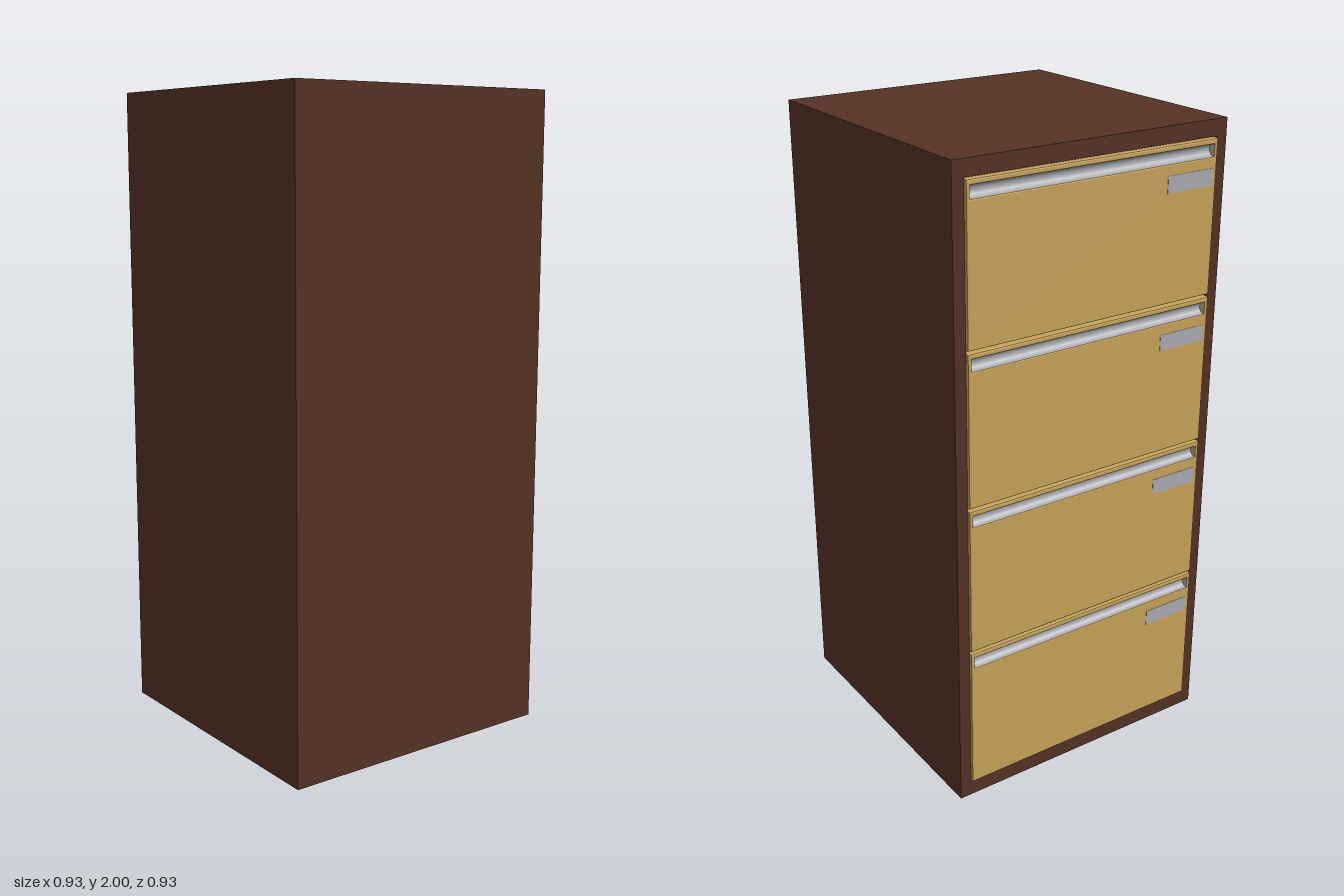
import * as THREE from 'three';

const mat = (color, side = THREE.FrontSide) => new THREE.MeshStandardMaterial({ color, side });
const brown = mat(0x553224);
const ochre = mat(0xc8a35a);
const grey = mat(0xaaacb2, THREE.DoubleSide);

// Adds a rectangle to a Shape or Path
function rect(path, x0, x1, y0, y1) {
  path.moveTo(x0, y0);
  path.lineTo(x1, y0);
  path.lineTo(x1, y1);
  path.lineTo(x0, y1);
  path.closePath();
  return path;
}

function part(parent, name, geometry, material, x = 0, y = 0, z = 0) {
  const mesh = new THREE.Mesh(geometry, material);
  mesh.name = name;
  mesh.position.set(x, y, z);
  parent.add(mesh);
  return mesh;
}

// One drawer front, facing local +z, with its front plane at z = 0 and its base at y = 0
function makeDrawer(width, height) {
  const drawer = new THREE.Group();
  const bevel = 0.004, r = 0.018, slotY = height - 0.034, slotHalf = width / 2 - 0.012;

  // Panel with a slot cut for the pull
  const shape = rect(new THREE.Shape(), -width / 2 + bevel, width / 2 - bevel, bevel, height - bevel);
  shape.holes.push(rect(new THREE.Path(), -slotHalf - bevel, slotHalf + bevel, slotY - r - bevel, slotY + r + bevel));
  const panel = new THREE.ExtrudeGeometry(shape, {
    depth: 0.036, bevelEnabled: true, bevelSize: bevel, bevelThickness: bevel, bevelSegments: 2,
  });
  part(drawer, 'drawerFront', panel, ochre, 0, 0, -0.04);

  // Recessed half-round pull running the full width
  const pull = new THREE.CylinderGeometry(r, r, slotHalf * 2, 16, 1, false, Math.PI / 2, Math.PI);
  pull.rotateZ(Math.PI / 2);
  part(drawer, 'recessedPull', pull, grey, 0, slotY, -0.003);

  // Label plate below the pull
  part(drawer, 'labelPlate', new THREE.BoxGeometry(0.165, 0.05, 0.002), grey, 0.328, height - 0.11, 0);
  return drawer;
}

export function createModel() {
  const cabinet = new THREE.Group();
  cabinet.name = 'filingCabinet';
  const half = 0.463, front = -0.457, inner = -0.42, back = 0.467;

  // Solid carcass and the rim around the drawer opening
  part(cabinet, 'carcass', new THREE.BoxGeometry(back - inner, 2, half * 2), brown, (back + inner) / 2, 1, 0);
  const rim = rect(new THREE.Shape(), -half, half, 0, 2);
  rim.holes.push(rect(new THREE.Path(), -0.426, 0.426, 0.05, 1.95));
  const rimGeometry = new THREE.ExtrudeGeometry(rim, { depth: inner - front, bevelEnabled: false });
  part(cabinet, 'openingRim', rimGeometry, brown, inner, 0, 0).rotation.y = -Math.PI / 2;

  // Four stacked drawers on the -x side
  for (let i = 0; i < 4; i++) {
    const drawer = makeDrawer(0.85, 0.467);
    drawer.name = `drawer${i + 1}`;
    drawer.rotation.y = -Math.PI / 2;
    drawer.position.set(-0.466, 0.053 + i * 0.4755, 0);
    cabinet.add(drawer);
  }
  return cabinet;
}
